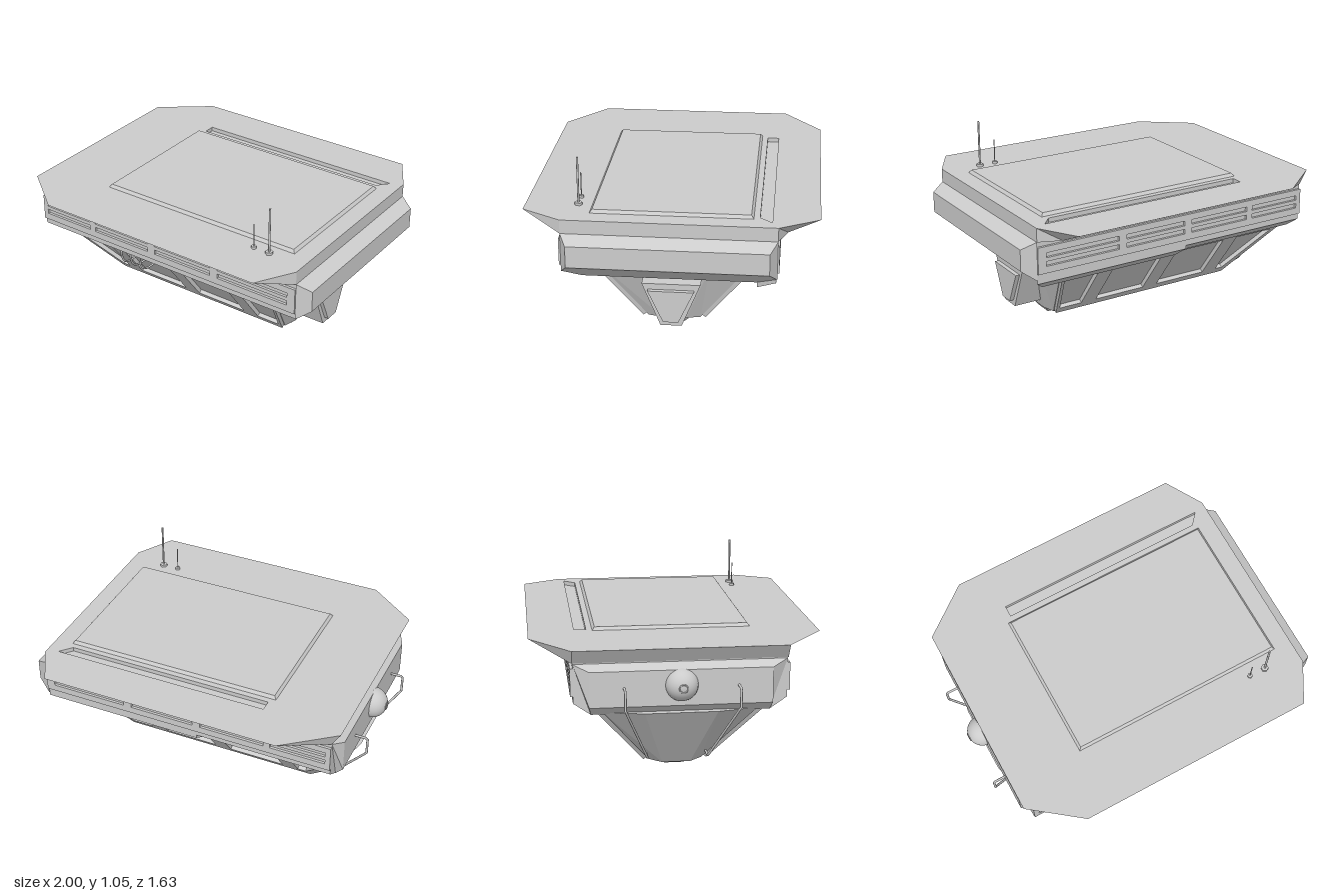
import * as THREE from 'three';

const material = new THREE.MeshStandardMaterial({ color: 0xcccccc });
const V = (x, y, z) => new THREE.Vector3(x, y, z);

function add(parent, name, geometry) {
  const mesh = new THREE.Mesh(geometry, material);
  mesh.name = name;
  parent.add(mesh);
  return mesh;
}

// Flat-shaded solid through rings of equal point count; faces turn outward by signed volume.
function loft(rings, { openEnd = false, inward = false } = {}) {
  const tris = [], n = rings[0].length, last = rings[rings.length - 1];
  for (let r = 0; r < rings.length - 1; r++) {
    for (let i = 0; i < n; i++) {
      const j = (i + 1) % n, a = rings[r], b = rings[r + 1];
      tris.push([a[i], a[j], b[j]], [a[i], b[j], b[i]]);
    }
  }
  for (let i = 1; i < n - 1; i++) {
    tris.push([rings[0][0], rings[0][i + 1], rings[0][i]]);
    if (!openEnd) tris.push([last[0], last[i], last[i + 1]]);
  }
  const ref = V(...last[0]);
  let volume = 0;
  for (const t of tris) {
    const [a, b, c] = t.map(p => V(...p).sub(ref));
    volume += a.dot(b.cross(c));
  }
  const flip = (volume < 0) !== inward;
  const points = tris.flatMap(([a, b, c]) => (flip ? [a, c, b] : [a, b, c])).flat();
  const geometry = new THREE.BufferGeometry();
  geometry.setAttribute('position', new THREE.Float32BufferAttribute(points, 3));
  geometry.computeVertexNormals();
  return geometry;
}

// Level eight-sided ring: end faces at x0/x1 (half width e0/e1), side faces at +-w from s0 to s1.
const octagon = (y, x0, e0, s0, s1, x1, e1, w) => [
  [x0, -e0], [s0, -w], [s1, -w], [x1, -e1], [x1, e1], [s1, w], [s0, w], [x0, e0],
].map(([x, z]) => [x, y, z]);
const rectY = (y, x0, x1, w) => [[x0, y, -w], [x1, y, -w], [x1, y, w], [x0, y, w]];
const rectX = (x, y0, y1, w0, w1 = w0) => [[x, y0, -w0], [x, y0, w0], [x, y1, w1], [x, y1, -w1]];

const polygon = pts => pts.map(([x, y]) => new THREE.Vector2(x, y));
function pierced(outline, holes, depth) {
  const shape = new THREE.Shape(polygon(outline));
  for (const h of holes) shape.holes.push(new THREE.Path(polygon(h)));
  return depth ? new THREE.ExtrudeGeometry(shape, { depth, bevelEnabled: false }) : new THREE.ShapeGeometry(shape);
}

// Straight-segment bent pipe
function pipe(points, radius) {
  const path = new THREE.CurvePath();
  for (let i = 1; i < points.length; i++) path.add(new THREE.LineCurve3(V(...points[i - 1]), V(...points[i])));
  return new THREE.TubeGeometry(path, 40, radius, 8);
}

function buildRoof() {
  const roof = new THREE.Group();
  roof.name = 'roof';
  const top = octagon(0.77, -0.92, 0.59, -0.63, 0.79, 0.92, 0.59, 0.815);
  const slot = [[-0.45, -0.555], [0.85, -0.555], [0.79, -0.487], [-0.45, -0.487]];
  add(roof, 'roofEaves', loft([octagon(0.69, -0.87, 0.59, -0.63, 0.79, 0.92, 0.59, 0.64), top], { openEnd: true }));
  // Roof sheet with a sunken slot
  const sheet = pierced(top.map(p => [p[0], -p[2]]), [slot.map(p => [p[0], -p[1]])], 0);
  sheet.rotateX(-Math.PI / 2).translate(0, 0.77, 0);
  add(roof, 'roofSheet', sheet);
  const level = y => slot.map(([x, z]) => [x, y, z]);
  add(roof, 'roofSlot', loft([level(0.745), level(0.77)], { openEnd: true, inward: true }));
  // Raised hatch with bevelled rim
  const hatch = loft([rectY(0.768, -0.485, 0.815, 0.45), rectY(0.788, -0.47, 0.80, 0.435)]);
  add(roof, 'roofHatch', hatch).position.z = -0.005;
  for (const [x, foot, rod, tip] of [[0.70, 0.022, 0.006, 1.05], [0.60, 0.015, 0.003, 0.92]]) {
    add(roof, 'antennaFoot', new THREE.CylinderGeometry(foot, foot, 0.016, 6).toNonIndexed())
      .position.set(x, 0.777, 0.52);
    add(roof, 'antennaRod', new THREE.CylinderGeometry(rod, rod, tip - 0.77, 8))
      .position.set(x, (tip + 0.77) / 2, 0.52);
  }
  return roof;
}

function buildUpperHull() {
  const hull = new THREE.Group();
  hull.name = 'upperHull';
  add(hull, 'hullBand', loft([
    rectY(0.40, -0.87, 0.83, 0.49), rectY(0.466, -0.87, 0.92, 0.585), rectY(0.70, -0.87, 0.92, 0.585),
  ]));
  add(hull, 'tailBumper', loft([rectX(0.92, 0.466, 0.69, 0.59), rectX(1.0, 0.525, 0.65, 0.55)]));
  add(hull, 'noseBumper', loft([rectX(-0.87, 0.40, 0.685, 0.49, 0.585), rectX(-0.915, 0.45, 0.65, 0.50)]));

  // Slotted vent panels on both sides
  const slots = [];
  for (const [a, b] of [[-0.84, -0.51], [-0.47, -0.08], [-0.03, 0.36], [0.41, 0.87]]) {
    for (const y of [0.545, 0.595]) slots.push([[a, y], [b, y], [b, y + 0.028], [a, y + 0.028]]);
  }
  const outline = [[-0.87, 0.505], [0.92, 0.505], [0.92, 0.66], [-0.87, 0.66]];
  for (const side of [1, -1]) {
    const vent = pierced(outline, slots, 0.02);
    vent.translate(0, 0, side > 0 ? 0.58 : -0.60);
    add(hull, 'ventPanel', vent);
  }

  // Skirt plate under the rear chine
  const skirt = end => [[0.47, -0.585, 0.92], [0.445, -0.585, 0.92], [0.373, -0.48, 0.835], [0.405, -0.48, 0.835]]
    .map(([y, z, x]) => [end ? x : -0.05, y, z]);
  add(hull, 'rearSkirt', loft([skirt(false), skirt(true)]));

  // Nose lamp
  add(hull, 'noseLamp', new THREE.SphereGeometry(0.09, 32, 20)).position.set(-0.905, 0.565, 0);
  const lens = new THREE.TorusGeometry(0.022, 0.004, 8, 20).rotateY(Math.PI / 2);
  add(hull, 'noseLampRing', lens).position.set(-0.992, 0.565, 0);
  return hull;
}

function buildLowerHull() {
  const hull = new THREE.Group();
  hull.name = 'lowerHull';
  add(hull, 'hullCore', loft([
    octagon(0.04, -0.67, 0.08, -0.61, 0.585, 0.605, 0.07, 0.15),
    octagon(0.41, -0.92, 0.20, -0.87, 0.685, 0.72, 0.21, 0.425),
  ]));
  add(hull, 'keel', loft([rectY(0, -0.57, 0.57, 0.055), rectY(0.042, -0.61, 0.60, 0.09)]));

  // Sloping side frames with four sunken windows; s runs up the 4:3 slope
  const S = y => (y - 0.04) / 0.8;
  const windows = [
    [-0.59, -0.54, -0.54, -0.80], [-0.44, -0.10, -0.10, -0.44],
    [0, 0.33, 0.33, 0], [0.43, 0.575, 0.655, 0.43],
  ].map(([a, b, c, d]) => [[a, S(0.08)], [b, S(0.08)], [c, S(0.36)], [d, S(0.36)]]);
  const outline = [[-0.61, 0], [0.585, 0], [0.685, S(0.405)], [-0.87, S(0.405)]];
  for (const side of [1, -1]) {
    const frame = pierced(outline, windows, 0.025);
    frame.translate(0, 0, -0.025).rotateX(Math.atan2(3, 4)).translate(0, 0.04, 0.18);
    if (side < 0) {
      // Mirror to the back and turn the faces round again
      frame.scale(1, 1, -1);
      for (const key of ['position', 'normal']) {
        const at = frame.attributes[key];
        for (let i = 0; i < at.count; i += 3) {
          const p = V().fromBufferAttribute(at, i + 1), q = V().fromBufferAttribute(at, i + 2);
          at.setXYZ(i + 1, q.x, q.y, q.z);
          at.setXYZ(i + 2, p.x, p.y, p.z);
        }
      }
    }
    add(hull, 'windowFrame', frame);
  }

  // Tapered tail box with cover
  add(hull, 'tailBox', loft([rectX(0.58, 0.088, 0.345, 0.06, 0.165), rectX(0.79, 0.088, 0.345, 0.06, 0.165)]));
  add(hull, 'tailBoxCover', loft([rectX(0.785, 0.12, 0.31, 0.043, 0.13), rectX(0.815, 0.12, 0.31, 0.043, 0.13)]));

  // Hooked pipes on the front side
  for (const x of [-0.37, -0.30, -0.23]) {
    const curve = new THREE.CatmullRomCurve3([
      V(x, 0.42, 0.49), V(x, 0.36, 0.488), V(x, 0.31, 0.465), V(x, 0.288, 0.42), V(x, 0.285, 0.35),
    ]);
    add(hull, 'hookPipe', new THREE.TubeGeometry(curve, 20, 0.006, 8));
  }

  // Nose guard rails
  for (const s of [1, -1]) {
    add(hull, 'guardRail', pipe([
      [-0.90, 0.555, 0.312 * s], [-0.988, 0.555, 0.312 * s], [-0.988, 0.45, 0.312 * s],
      [-0.74, 0.095, 0.17 * s], [-0.62, 0.095, 0.17 * s],
    ], 0.007));
  }
  return hull;
}

export function createModel() {
  const model = new THREE.Group();
  model.name = 'cabin';
  model.add(buildRoof(), buildUpperHull(), buildLowerHull());
  return model;
}
